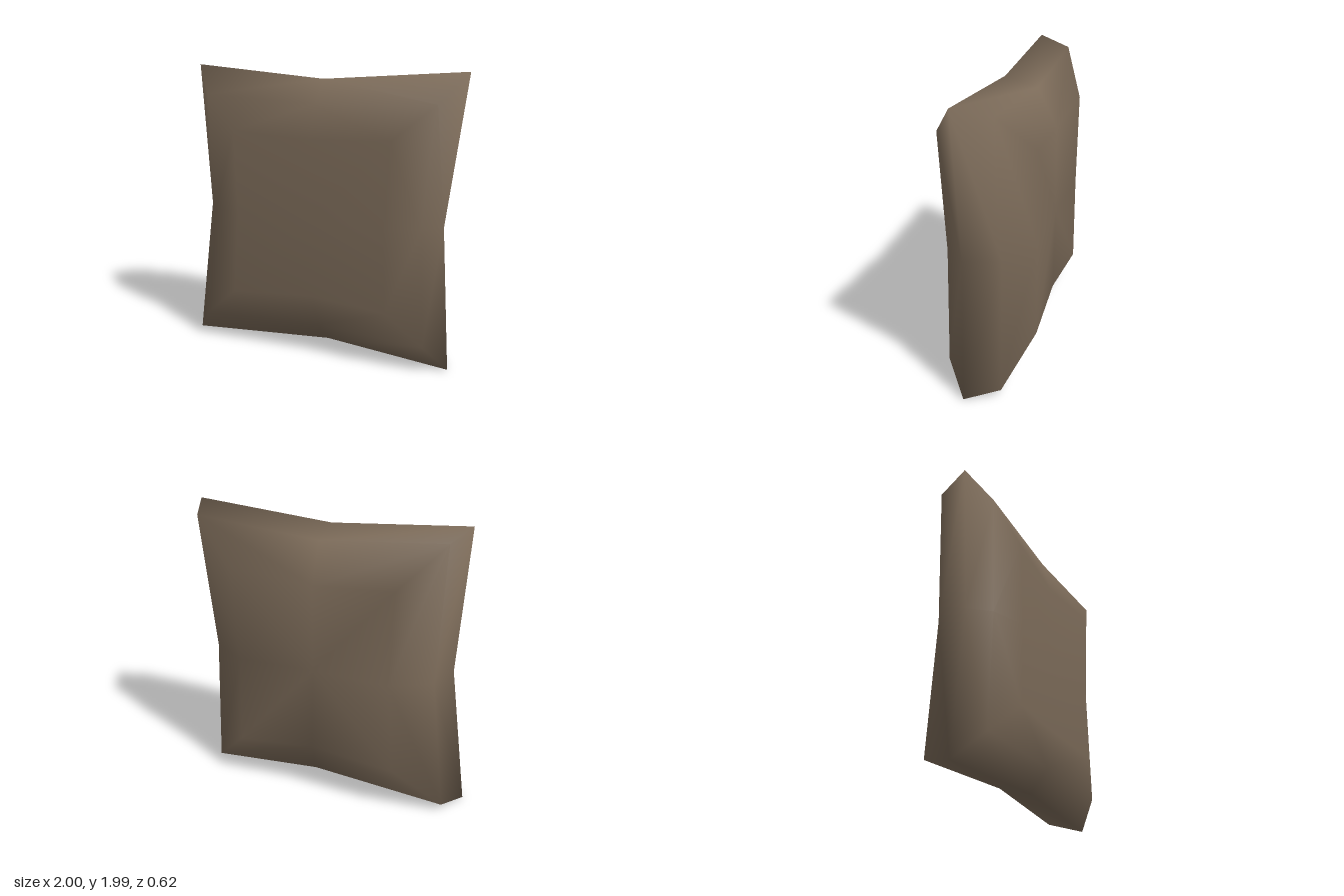
import * as THREE from 'three';

// Each ring runs counter-clockwise seen from the front:
// bottom left, bottom, bottom right, right, top right, top, top left, left.
// x, y: corner reach; skew: sideways lean; mx, my: reach of the edge middles.
// The bottom left corner is pulled slightly forward.
function ring({ x, y, skew, mx, my, z, zSide, zEnd }) {
  return [
    [-x - skew, 1 - y, z + 0.012], [skew * 1.4, 1 - my, zEnd],
    [x - skew, 1 - y, z], [mx, 0.995, zSide],
    [x + skew, 1 + y, z], [skew * 0.4, 1 + my, zEnd],
    [-x + skew, 1 + y, z], [-mx, 0.995, zSide],
  ];
}

export function createModel() {
  const group = new THREE.Group();
  const fabric = new THREE.MeshStandardMaterial({ color: 0x7c6b59 });
  fabric.name = 'brown fabric';

  // Cross-sections from the back panel over the seam to the front panel
  const rings = [
    ring({ x: 0.57, y: 0.645, skew: 0.01, mx: 0.54, my: 0.6, z: -0.308, zSide: -0.303, zEnd: -0.28 }),
    ring({ x: 0.87, y: 0.935, skew: 0.03, mx: 0.8, my: 0.86, z: -0.15, zSide: -0.15, zEnd: -0.15 }),
    ring({ x: 0.965, y: 0.993, skew: 0.035, mx: 0.87, my: 0.92, z: 0.078, zSide: 0.08, zEnd: 0.07 }),
    ring({ x: 0.815, y: 0.8, skew: 0.025, mx: 0.76, my: 0.77, z: 0.22, zSide: 0.215, zEnd: 0.205 }),
    ring({ x: 0.56, y: 0.57, skew: 0.01, mx: 0.53, my: 0.54, z: 0.3, zSide: 0.3, zEnd: 0.263 }),
  ];
  const points = rings.flat();
  const index = [];
  const n = 8;
  for (let r = 0; r < rings.length - 1; r++) {
    for (let i = 0; i < n; i++) {
      const j = (i + 1) % n;
      const a = r * n + i, b = r * n + j, c = a + n, d = b + n;
      // Diagonals fan out from the edge middles, mirrored about each one
      if (i % 2 === 0) index.push(a, b, c, b, d, c);
      else index.push(a, b, d, a, d, c);
    }
  }

  // Padded centres of both panels
  const back = points.push([0, 1, -0.284]) - 1;
  const front = points.push([0, 1, 0.26]) - 1;
  const last = (rings.length - 1) * n;
  for (let i = 0; i < n; i++) {
    const j = (i + 1) % n;
    index.push(back, j, i, front, last + i, last + j);
  }

  const geometry = new THREE.BufferGeometry();
  geometry.setAttribute('position', new THREE.Float32BufferAttribute(points.flat(), 3));
  geometry.setIndex(index);
  geometry.computeVertexNormals();

  const pillow = new THREE.Mesh(geometry, fabric);
  pillow.name = 'pillow';
  group.add(pillow);
  return group;
}
